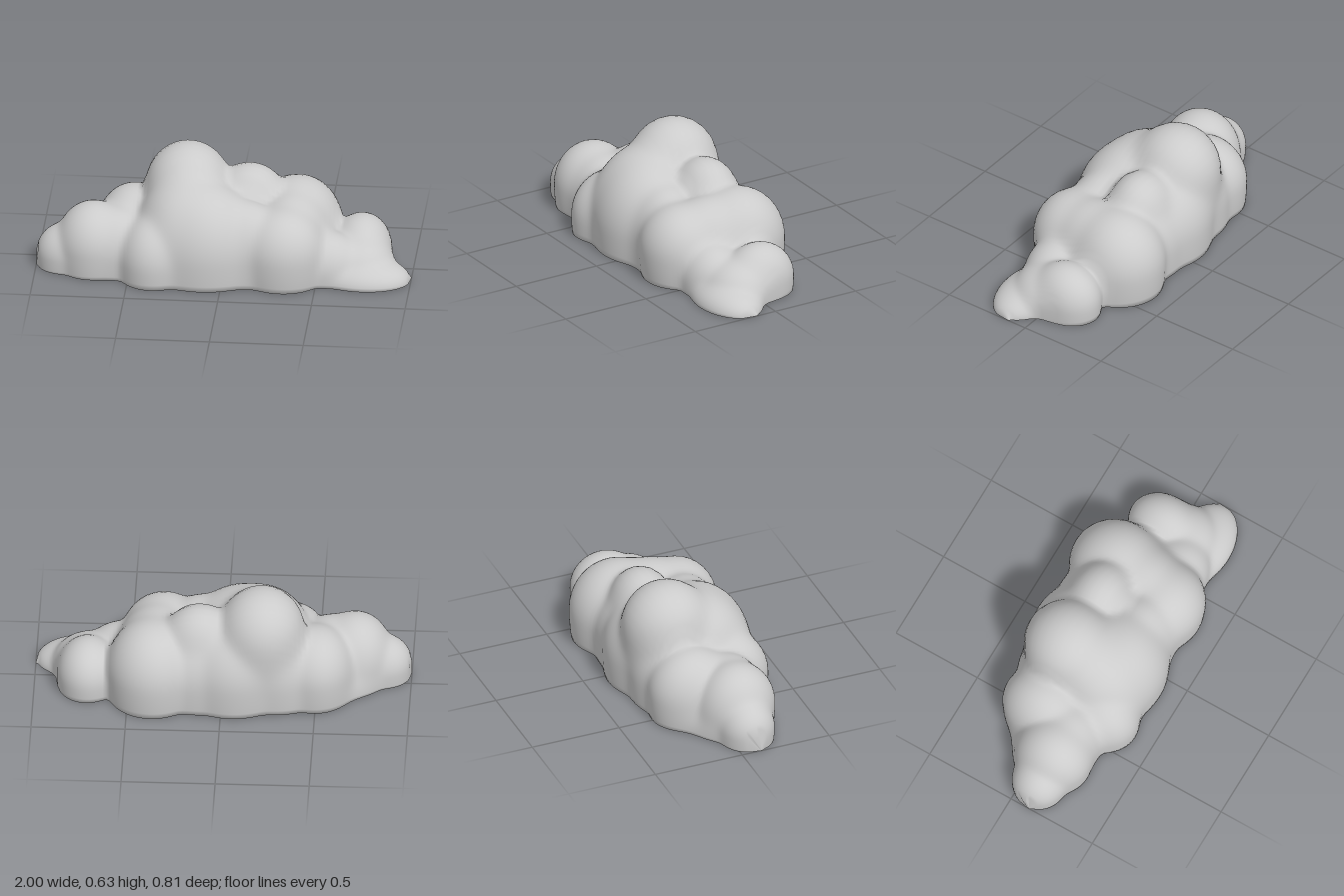
import * as THREE from 'three';

// Puffs of the cloud: centre x, y, z and radii x, y, z
const PUFFS = [
  [-0.21, 0.39, -0.11, 0.235, 0.25, 0.245], // crown
  [-0.10, 0.14, 0.11, 0.32, 0.36, 0.295],   // middle front
  [-0.06, 0.16, -0.15, 0.27, 0.30, 0.245],  // middle back
  [0.12, 0.33, -0.11, 0.20, 0.20, 0.17],    // shoulder
  [0.37, 0.16, -0.15, 0.25, 0.285, 0.265],  // left back
  [0.32, 0.16, 0.18, 0.23, 0.24, 0.215],    // left front
  [0.72, 0.08, -0.07, 0.165, 0.195, 0.20],  // left end
  [0.75, 0.00, 0.15, 0.255, 0.12, 0.17],    // low left foot
  [-0.37, 0.10, 0.19, 0.19, 0.24, 0.215],   // right front
  [-0.50, 0.15, -0.09, 0.20, 0.24, 0.235],  // right back
  [-0.70, 0.13, 0.09, 0.20, 0.235, 0.215],  // right end
  [-0.85, 0.07, 0.09, 0.155, 0.16, 0.15],   // right tip
  // Fillers that soften the hollows between the puffs
  [-0.05, 0.00, 0.00, 0.80, 0.34, 0.32],
  [-0.20, 0.25, 0.07, 0.26, 0.27, 0.24],
  [0.35, 0.16, 0.02, 0.22, 0.26, 0.25],
  [0.13, 0.14, 0.14, 0.20, 0.28, 0.20],
  [0.14, 0.14, -0.14, 0.20, 0.28, 0.22],
  [-0.24, 0.14, 0.16, 0.20, 0.30, 0.20],
  [-0.30, 0.14, -0.12, 0.22, 0.28, 0.22],
  [-0.57, 0.10, 0.10, 0.20, 0.24, 0.19],
  [0.55, 0.06, 0.12, 0.19, 0.19, 0.17],
  [0.71, 0.05, 0.06, 0.20, 0.16, 0.19],
];

// True within the softly blended puffs, whose lower halves are steep
function inside(x, y, z) {
  let sum = 0;
  for (const [cx, cy, cz, rx, ry, rz] of PUFFS) {
    const dy = y < cy ? (y - cy) * 0.5 : y - cy;
    sum += Math.exp(14 - 14 * Math.hypot((x - cx) / rx, dy / ry, (z - cz) / rz));
  }
  return sum > 1.5;
}

// Outermost distance from the section axis to the surface
function reach(x, zc, angle) {
  const c = Math.cos(angle), s = Math.sin(angle);
  const hit = (r) => inside(x, r * s, zc + r * c);
  let r = 0.8;
  while (r > 0 && !hit(r)) r -= 0.015;
  if (r <= 0) return 0.004;
  let lo = r, hi = r + 0.015;
  for (let i = 0; i < 10; i++) {
    const mid = (lo + hi) / 2;
    if (hit(mid)) lo = mid; else hi = mid;
  }
  return Math.max(lo, 0.004);
}

// Half-round sections along x, each closed by a flat base
function cloudGeometry(sections = 110, steps = 40) {
  const pos = [], index = [];
  const loop = steps + 4;
  for (let i = 0; i <= sections; i++) {
    const t = (i / sections) * 2 - 1;
    const x = 0.6 * t + 0.4 * Math.sin((t * Math.PI) / 2);
    const zc = 0.11 * x * x;
    const radii = [];
    for (let j = 0; j <= steps; j++) {
      const a = (j / steps) * Math.PI;
      const r = reach(x, zc, a);
      radii.push(r);
      pos.push(x, r * Math.sin(a), zc + r * Math.cos(a));
    }
    pos.push(x, 0, zc - radii[steps] * 0.94, x, 0, zc, x, 0, zc + radii[0] * 0.94);
  }
  for (let i = 0; i < sections; i++) {
    for (let j = 0; j < loop; j++) {
      const k = (j + 1) % loop;
      const a = i * loop + j, b = i * loop + k;
      index.push(a, a + loop, b, b, a + loop, b + loop);
    }
  }
  // End caps
  const last = sections * loop;
  for (let j = 1; j < loop - 1; j++) {
    index.push(0, j, j + 1, last, last + j + 1, last + j);
  }
  const geometry = new THREE.BufferGeometry();
  geometry.setAttribute('position', new THREE.Float32BufferAttribute(pos, 3));
  geometry.setIndex(index);
  geometry.computeVertexNormals();
  return geometry;
}

export function createModel() {
  const group = new THREE.Group();
  group.name = 'cloud';
  const material = new THREE.MeshStandardMaterial({ color: 0xcccccc });
  const body = new THREE.Mesh(cloudGeometry(), material);
  body.name = 'cloudBody';
  group.add(body);
  return group;
}
